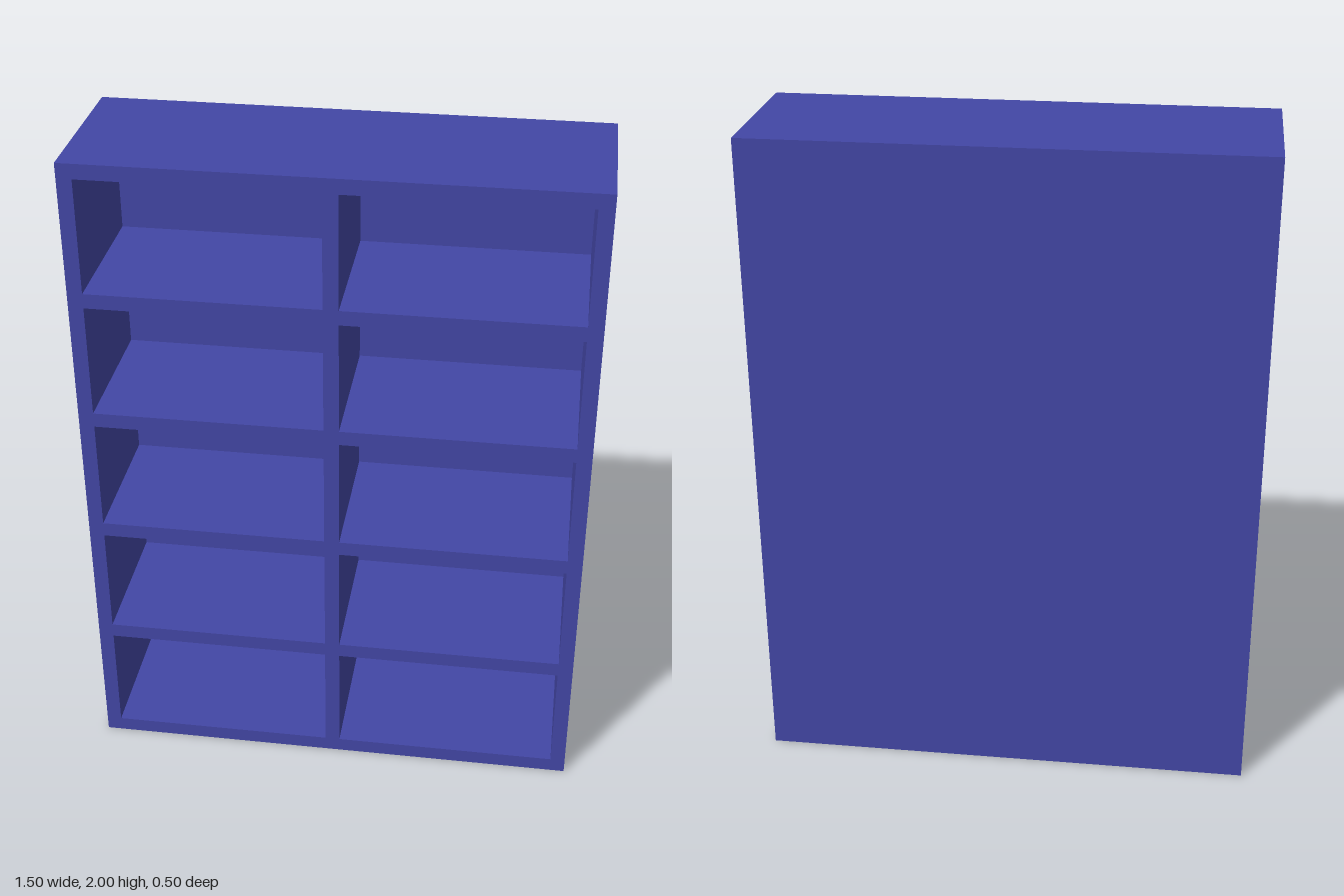
import * as THREE from 'three';

const W = 1.5, H = 2, D = 0.5;      // outer size
const T = 0.045;                    // board thickness
const COLS = 2, ROWS = 5;
const CELL_W = (W - T * (COLS + 1)) / COLS;
const CELL_H = (H - T * (ROWS + 1)) / ROWS;
const CELL_D = D - T;

// Box without its front (+z) face
function openBox(w, h, d) {
  const geometry = new THREE.BoxGeometry(w, h, d);
  const index = Array.from(geometry.index.array);
  index.splice(24, 6);
  geometry.setIndex(index);
  geometry.clearGroups();
  return geometry;
}

// Same open box with its faces turned inward
function recess(w, h, d) {
  const geometry = openBox(w, h, d);
  geometry.scale(-1, 1, 1);
  geometry.computeVertexNormals();
  return geometry;
}

function rectangle(path, x, y, w, h) {
  path.moveTo(x, y);
  path.lineTo(x + w, y);
  path.lineTo(x + w, y + h);
  path.lineTo(x, y + h);
  path.closePath();
  return path;
}

export function createModel() {
  const group = new THREE.Group();
  group.name = 'bookcase';
  const material = new THREE.MeshStandardMaterial({ color: 0x4347a6 });

  const add = (name, geometry, x, y, z) => {
    const mesh = new THREE.Mesh(geometry, material);
    mesh.name = name;
    mesh.position.set(x, y, z);
    group.add(mesh);
  };

  // Sides, top, bottom and back
  add('outerCase', openBox(W, H, D), 0, H / 2, 0);

  // Compartments, each opening through the front
  const front = rectangle(new THREE.Shape(), -W / 2, 0, W, H);
  const cell = recess(CELL_W, CELL_H, CELL_D);
  for (let row = 0; row < ROWS; row++) {
    for (let col = 0; col < COLS; col++) {
      const x = -W / 2 + T + col * (CELL_W + T);
      const y = T + row * (CELL_H + T);
      front.holes.push(rectangle(new THREE.Path(), x, y, CELL_W, CELL_H));
      add(`compartment_${row + 1}_${col + 1}`, cell, x + CELL_W / 2, y + CELL_H / 2, T / 2);
    }
  }

  // Front edges of the boards, shelves and divider
  add('frontFrame', new THREE.ShapeGeometry(front), 0, 0, D / 2);

  return group;
}
